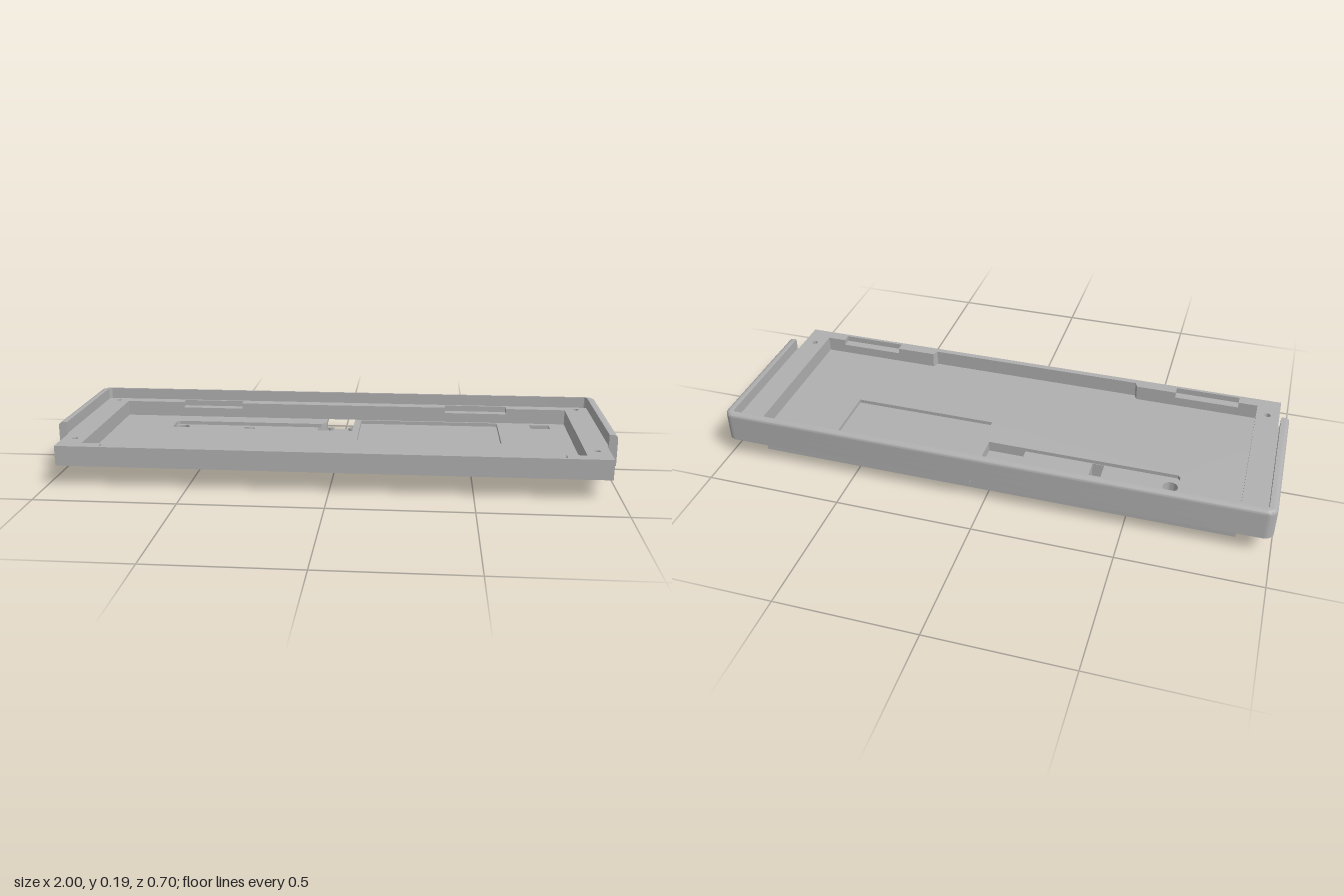
import * as THREE from 'three';
import { toCreasedNormals } from 'three/addons/utils/BufferGeometryUtils.js';

const grey = new THREE.MeshStandardMaterial({ color: 0xb0b0b0 });
grey.name = 'case grey';

// Heights of the case layers
const BASE = 0.078, FLOOR = 0.092, CLIP = 0.128, DECK = 0.15, TOP = 0.192;
const R = 0.035; // radius of the rear corners
const REAR = -0.352, FRONT = 0.352, STEP = 0.195;

const poly = (points, Type = THREE.Path) => new Type(points.map(([x, z]) => new THREE.Vector2(x, z)));
const rect = (x0, x1, z0, z1, Type) => poly([[x0, z0], [x1, z0], [x1, z1], [x0, z1]], Type);
const circle = (x, z, r) => new THREE.Path().absarc(x, z, r, 0, Math.PI * 2);

// Extrudes a plan drawn in x and z between two heights
function slab(shape, y0, y1, steps = 1) {
  const g = new THREE.ExtrudeGeometry(shape, { depth: y1 - y0, steps, bevelEnabled: false, curveSegments: 12 });
  g.rotateX(Math.PI / 2);
  g.translate(0, y1, 0);
  return g;
}

function add(group, name, geometry) {
  const mesh = new THREE.Mesh(toCreasedNormals(geometry, 0.6), grey);
  mesh.name = name;
  group.add(mesh);
  return mesh;
}

// Underside of the wedge, sloping down to the rear
const slope = (z) => 0.003 + 0.075 * (z + 0.285) / 0.605;
function sloped(shape, top) {
  const g = slab(shape, 0, top);
  const p = g.attributes.position;
  for (let i = 0; i < p.count; i++) if (p.getY(i) < 0.001) p.setY(i, slope(p.getZ(i)));
  g.computeVertexNormals();
  return g;
}

// Body plan with rounded rear corners and narrower front; optional cut into the rear edge
function bodyPlan(rearCut = []) {
  const s = new THREE.Shape();
  s.moveTo(-0.965, FRONT);
  s.lineTo(-0.965, STEP);
  s.lineTo(-1, STEP);
  s.lineTo(-1, REAR + R);
  s.absarc(-1 + R, REAR + R, R, Math.PI, Math.PI * 1.5);
  rearCut.forEach(([x, z]) => s.lineTo(x, z));
  s.lineTo(1 - R, REAR);
  s.absarc(1 - R, REAR + R, R, -Math.PI / 2, 0);
  s.lineTo(1, STEP);
  s.lineTo(0.965, STEP);
  s.lineTo(0.965, FRONT);
  s.closePath();
  for (const side of [-1, 1]) {
    s.holes.push(circle(side * 0.925, -0.298, 0.011), circle(side * 0.922, 0.255, 0.011));
  }
  return s;
}

// Cavity outline, with or without the four clip recesses
function cavity(withClips) {
  const clip = (x0, x1, z, edge) => withClips ? [[x0, edge], [x0, z], [x1, z], [x1, edge]] : [];
  return poly([
    [-0.88, -0.285], ...clip(-0.65, -0.41, -0.32, -0.285), ...clip(0.41, 0.65, -0.32, -0.285), [0.88, -0.285],
    [0.88, 0.307], ...clip(0.81, 0.57, 0.34, 0.307), [0.42, 0.307], [0.41, 0.33],
    [-0.41, 0.33], [-0.42, 0.307], ...clip(-0.57, -0.81, 0.34, 0.307), [-0.88, 0.307],
  ]);
}

export function createModel() {
  const group = new THREE.Group();
  group.name = 'keyboardCase';
  const buttonHole = () => circle(-0.632, -0.175, 0.027);
  const switchHole = () => rect(-0.385, -0.342, -0.188, -0.122);
  const socketHole = () => rect(0.742, 0.818, -0.262, -0.212);

  // Floor plate with cable groove, port channel and shallow rectangular pocket
  const floor = bodyPlan([
    [-0.06, REAR], [-0.06, -0.23], [-0.08, -0.21], [-0.65, -0.21], [-0.66, -0.2], [-0.66, -0.13],
    [-0.65, -0.12], [0.05, -0.12], [0.05, REAR],
  ]);
  floor.holes.push(rect(0.075, 0.615, -0.277, 0), socketHole());
  add(group, 'floorPlate', slab(floor, BASE, FLOOR));

  // Walls around the cavity
  const wall = bodyPlan();
  wall.holes.push(cavity(false));
  add(group, 'cavityWall', slab(wall, FLOOR, CLIP));
  const deck = bodyPlan();
  deck.holes.push(cavity(true));
  add(group, 'deckWithClipRecesses', slab(deck, CLIP, DECK));

  // Raised rim around the sides and rear, with a rounded outer top edge
  const rim = new THREE.Shape();
  const ri = 0.012, xi = 0.97, zi = -0.33;
  rim.moveTo(-1, STEP);
  rim.lineTo(-1, REAR + R);
  rim.absarc(-1 + R, REAR + R, R, Math.PI, Math.PI * 1.5);
  rim.lineTo(1 - R, REAR);
  rim.absarc(1 - R, REAR + R, R, -Math.PI / 2, 0);
  rim.lineTo(1, STEP);
  rim.lineTo(xi, STEP);
  rim.lineTo(xi, zi + ri);
  rim.absarc(xi - ri, zi + ri, ri, 0, -Math.PI / 2, true);
  rim.lineTo(-xi + ri, zi);
  rim.absarc(-xi + ri, zi + ri, ri, -Math.PI / 2, -Math.PI, true);
  rim.lineTo(-xi, STEP);
  rim.closePath();
  const rimGeometry = slab(rim, DECK, TOP, 14);
  const p = rimGeometry.attributes.position, fillet = 0.014;
  for (let i = 0; i < p.count; i++) {
    const x = p.getX(i), z = p.getZ(i), h = p.getY(i) - (TOP - fillet);
    const cx = THREE.MathUtils.clamp(x, -1 + R, 1 - R), cz = Math.max(z, REAR + R);
    if (h <= 0 || Math.hypot(x - cx, z - cz) < 0.03) continue;
    const inset = fillet - Math.sqrt(Math.max(0, fillet * fillet - h * h));
    const k = 1 - inset / R;
    p.setX(i, cx + (x - cx) * k);
    p.setZ(i, cz + (z - cz) * k);
  }
  rimGeometry.computeVertexNormals();
  add(group, 'rim', rimGeometry);

  // Wedge foot under the floor, open for the port pocket and holes
  const wedge = poly([
    [-0.88, 0.32], [-0.88, -0.285], [-0.06, -0.285], [-0.06, -0.23], [-0.09, -0.21], [-0.09, -0.12],
    [0.05, -0.12], [0.05, -0.285], [0.88, -0.285], [0.88, 0.32],
  ], THREE.Shape);
  wedge.holes.push(buttonHole(), switchHole(), rect(0.58, 0.865, -0.27, -0.2));
  add(group, 'wedgeFoot', sloped(wedge, BASE));

  // Bottom of the port pocket and its screw posts
  add(group, 'portPocketFloor', sloped(poly([
    [-0.06, -0.285], [-0.06, -0.23], [-0.09, -0.21], [-0.09, -0.12], [0.05, -0.12], [0.05, -0.285],
  ], THREE.Shape), 0.052));
  for (const x of [-0.045, 0.037]) {
    for (const z of [-0.27, -0.195]) {
      const ring = new THREE.Shape().absarc(x, z, 0.012, 0, Math.PI * 2);
      ring.holes.push(circle(x, z, 0.005));
      add(group, 'screwPost', slab(ring, 0.05, 0.062));
    }
  }

  // Roof of the shallow recess in the underside, around the socket hole
  const recess = rect(0.58, 0.865, -0.27, -0.2, THREE.Shape);
  recess.holes.push(socketHole());
  add(group, 'socketRecess', slab(recess, 0.02, BASE));

  return group;
}
